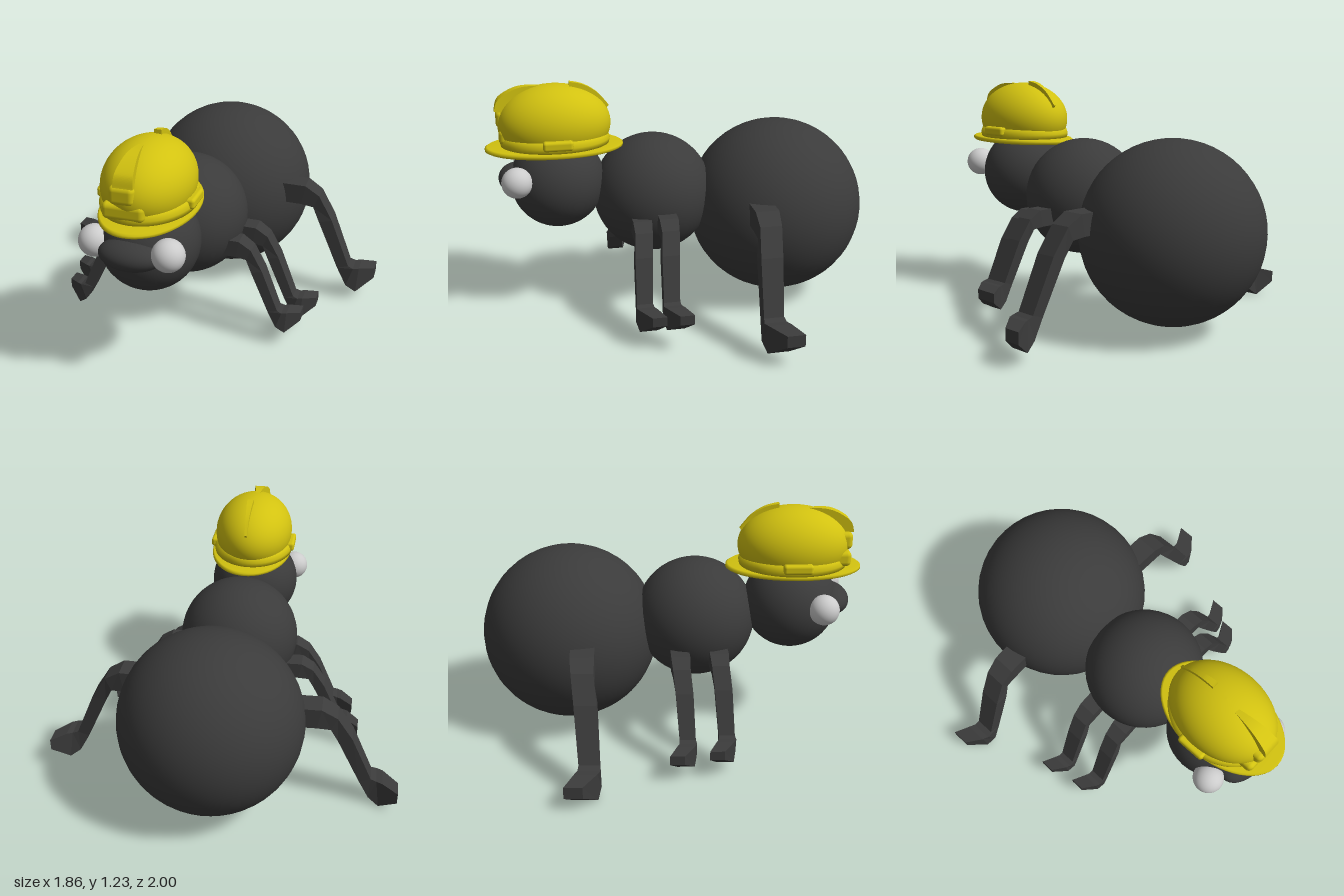
import * as THREE from 'three';
import { RoundedBoxGeometry } from 'three/addons/geometries/RoundedBoxGeometry.js';

const dark = new THREE.MeshStandardMaterial({ color: 0x3b3b3b });
const darkFlat = new THREE.MeshStandardMaterial({ color: 0x3b3b3b, flatShading: true });
const yellow = new THREE.MeshStandardMaterial({ color: 0xd2c210 });
const yellowThin = new THREE.MeshStandardMaterial({ color: 0xd2c210, side: THREE.DoubleSide });
const white = new THREE.MeshStandardMaterial({ color: 0xcccccc });

function add(parent, name, geometry, material, x = 0, y = 0, z = 0) {
  const mesh = new THREE.Mesh(geometry, material);
  mesh.name = name;
  mesh.position.set(x, y, z);
  parent.add(mesh);
  return mesh;
}

function ball(parent, name, material, radius, x, y, z) {
  return add(parent, name, new THREE.SphereGeometry(radius, 40, 28), material, x, y, z);
}

// Leg stations: top (out, y), bottom (out, y), z shift, width
const LEG = [
  [0.38, 0.60, 0.38, 0.49, 0.000, 0.12],
  [0.52, 0.60, 0.50, 0.49, 0.005, 0.12],
  [0.60, 0.55, 0.57, 0.48, 0.010, 0.11],
  [0.68, 0.42, 0.61, 0.40, 0.025, 0.11],
  [0.79, 0.16, 0.73, 0.14, 0.042, 0.10],
  [0.82, 0.15, 0.785, 0.04, 0.044, 0.11],
  [0.85, 0.15, 0.84, 0.00, 0.030, 0.11],
  [0.93, 0.13, 0.93, 0.07, -0.025, 0.09],
];

// Four-sided loft through the stations; the foot tip lands on tipX
function legGeometry(side, scale, tipX, footY, z0) {
  const pos = [], index = [];
  for (const [tu, ty, bu, by, dz, w] of LEG) {
    const corners = [[tu, ty, 1], [tu, ty, -1], [bu, by, -1], [bu, by, 1]];
    for (const [u, y, s] of corners) {
      pos.push(side * (tipX + (u - 0.93) * scale), footY + y * scale, z0 + (dz + s * w / 2) * scale);
    }
  }
  const tri = (a, b, c) => (side > 0 ? index.push(a, b, c) : index.push(a, c, b));
  const quad = (a, b, c, d) => { tri(a, b, c); tri(a, c, d); };
  for (let i = 0; i < LEG.length - 1; i++) {
    for (let j = 0; j < 4; j++) {
      const a = i * 4 + j, b = i * 4 + (j + 1) % 4;
      quad(a, a + 4, b + 4, b);
    }
  }
  const e = (LEG.length - 1) * 4;
  quad(0, 1, 2, 3);
  quad(e + 3, e + 2, e + 1, e);
  const g = new THREE.BufferGeometry();
  g.setAttribute('position', new THREE.Float32BufferAttribute(pos, 3));
  g.setIndex(index);
  g.computeVertexNormals();
  return g;
}

// Crest fin from a (z, y) outline, its width changing along z
function finGeometry(outer, inner, widthAt) {
  const v = (p) => new THREE.Vector2(p[0], p[1]);
  const shape = new THREE.Shape();
  shape.moveTo(...outer[0]);
  shape.splineThru(outer.slice(1).map(v));
  shape.lineTo(...inner[0]);
  shape.splineThru(inner.slice(1).map(v));
  const g = new THREE.ExtrudeGeometry(shape, { depth: 1, bevelEnabled: false, curveSegments: 10 });
  g.translate(0, 0, -0.5);
  g.rotateY(-Math.PI / 2);
  const p = g.attributes.position;
  for (let i = 0; i < p.count; i++) p.setX(i, p.getX(i) * widthAt(p.getZ(i)));
  g.computeVertexNormals();
  return g;
}

function lathe(points) {
  return new THREE.LatheGeometry(points.map(([r, y]) => new THREE.Vector2(r, y)), 56);
}

function createHelmet() {
  const helmet = new THREE.Group();
  helmet.name = 'helmet';
  const cx = -0.035, cz = 0.64;

  // Egg-shaped shell, tucked in below its widest level
  const profile = [];
  for (let i = 0; i <= 24; i++) {
    const a = -0.72 + (i / 24) * (Math.PI / 2 + 0.72);
    profile.push([0.215 * Math.max(Math.cos(a), 0), 1.01 + 0.203 * Math.sin(a)]);
  }
  add(helmet, 'helmetShell', lathe(profile), yellowThin, cx, 0, cz).scale.z = 1.34;

  // Band above the brim
  const band = lathe([[0.19, 0.90], [0.222, 0.905], [0.226, 0.93], [0.218, 0.955], [0.2, 0.965]]);
  add(helmet, 'helmetBand', band, yellowThin, cx, 0, cz).scale.z = 1.25;

  // Long oval brim
  const brim = lathe([[0.15, 0.880], [0.218, 0.880], [0.225, 0.886], [0.225, 0.898], [0.218, 0.905], [0.15, 0.907]]);
  add(helmet, 'helmetBrim', brim, yellowThin, cx + 0.01, 0, 0.645).scale.z = 1.57;

  // Side lugs
  for (const s of [-1, 1]) {
    add(helmet, 'sideLug', new RoundedBoxGeometry(0.05, 0.05, 0.15, 3, 0.015), yellow, cx + s * 0.212, 0.945, cz);
  }

  // Front mounting blocks
  add(helmet, 'frontBlockLower', new RoundedBoxGeometry(0.2, 0.08, 0.1, 3, 0.025), yellow, -0.06, 0.962, 0.875);
  add(helmet, 'frontBlockUpper', new RoundedBoxGeometry(0.12, 0.09, 0.1, 3, 0.025), yellow, -0.06, 1.045, 0.885);

  // Crest fins
  const front = finGeometry(
    [[0.94, 1.09], [0.92, 1.145], [0.85, 1.19], [0.78, 1.207], [0.68, 1.205]],
    [[0.72, 1.17], [0.84, 1.12], [0.89, 1.08]],
    (z) => 0.015 + 0.3 * Math.max(z - 0.68, 0));
  add(helmet, 'frontCrest', front, yellow, -0.045);
  const rear = finGeometry(
    [[0.56, 1.225], [0.49, 1.208], [0.42, 1.165], [0.36, 1.095]],
    [[0.38, 1.07], [0.46, 1.13], [0.56, 1.18]],
    (z) => 0.012 + 0.12 * Math.max(z - 0.36, 0));
  add(helmet, 'rearCrest', rear, yellow, -0.022);
  return helmet;
}

export function createModel() {
  const ant = new THREE.Group();
  ant.name = 'ant';

  // Body
  ball(ant, 'abdomen', dark, 0.467, 0.02, 0.51, -0.533);
  ball(ant, 'thorax', dark, 0.316, -0.025, 0.61, 0.135);
  ball(ant, 'head', dark, 0.245, -0.045, 0.7, 0.635);

  // Face
  ball(ant, 'snout', dark, 1, -0.06, 0.72, 0.84).scale.set(0.155, 0.075, 0.1);
  ball(ant, 'rightEye', white, 0.078, -0.262, 0.73, 0.78);
  ball(ant, 'leftEye', white, 0.078, 0.125, 0.75, 0.85);

  ant.add(createHelmet());

  // Legs: name, side, scale, tip x, foot height, z
  const legs = [
    ['rightRearLeg', -1, 1, 0.93, 0, -0.44],
    ['leftRearLeg', 1, 1, 0.925, 0.05, -0.345],
    ['rightMiddleLeg', -1, 0.8, 0.71, 0.05, 0.045],
    ['leftMiddleLeg', 1, 0.8, 0.68, 0.105, 0.115],
    ['rightFrontLeg', -1, 0.8, 0.67, 0.05, 0.242],
    ['leftFrontLeg', 1, 0.8, 0.625, 0.08, 0.24],
  ];
  for (const [name, ...args] of legs) add(ant, name, legGeometry(...args), darkFlat);

  return ant;
}
